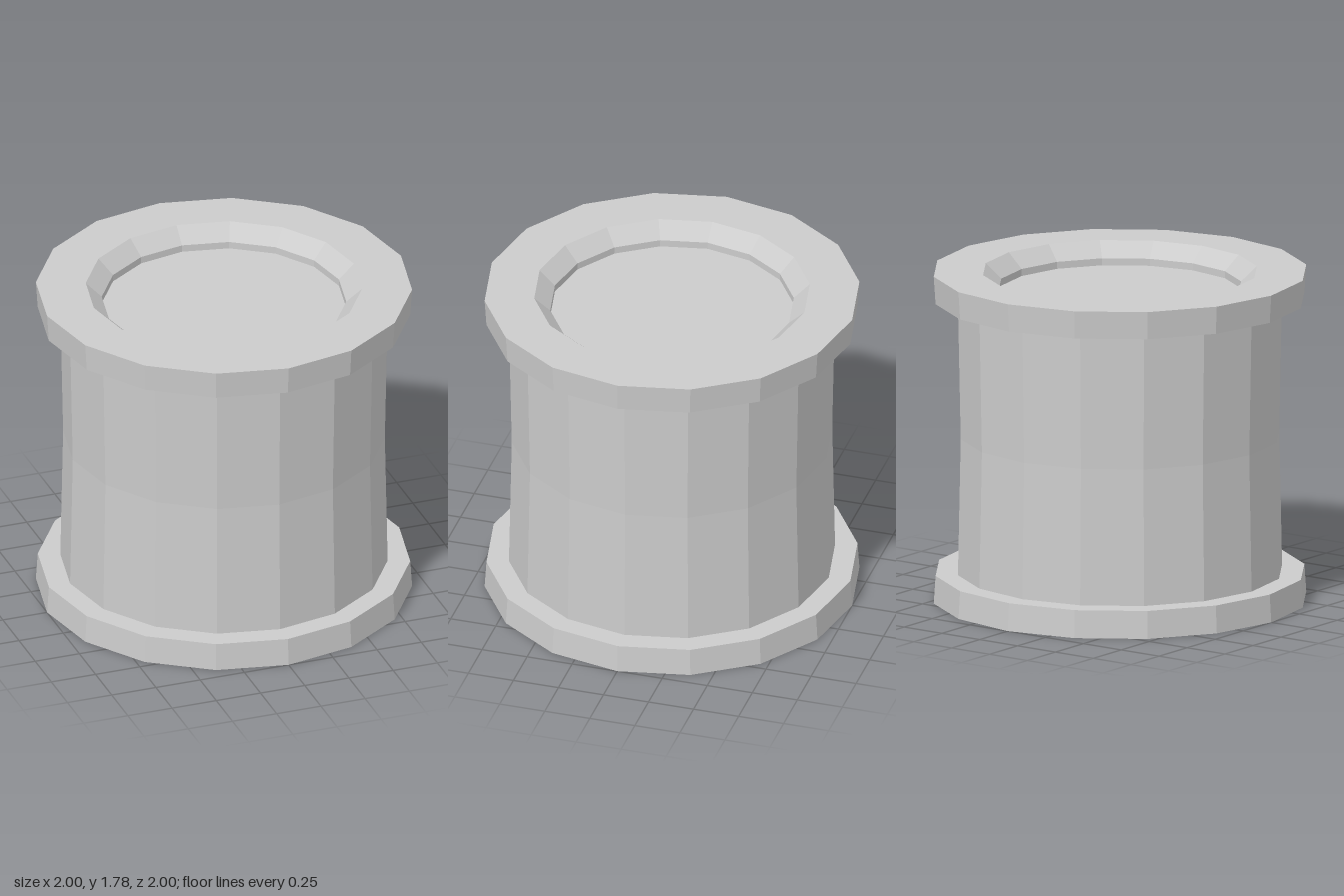
import * as THREE from 'three';

const SIDES = 16;
const HEIGHT = 1.78;

// Faceted solid of revolution from [radius, y] pairs, listed bottom to top on the outside
function turned(name, profile, material) {
  const points = profile.map(([r, y]) => new THREE.Vector2(r, y));
  const mesh = new THREE.Mesh(new THREE.LatheGeometry(points, SIDES), material);
  mesh.name = name;
  return mesh;
}

// Flared rim with a bevelled opening and a recessed round panel
function createEnd(name, material) {
  const end = new THREE.Group();
  end.name = name;
  const half = HEIGHT / 2;
  end.add(
    turned('rim', [
      [0.86, half - 0.15], [0.99, half - 0.15], [1, half],
      [0.735, half], [0.65, half - 0.08], [0.65, half - 0.118],
    ], material),
    turned('recessedPanel', [[0.65, half - 0.118], [0, half - 0.118]], material),
  );
  end.position.y = half;
  return end;
}

export function createModel() {
  const model = new THREE.Group();
  model.name = 'drum';
  const material = new THREE.MeshStandardMaterial({ color: 0xcccccc, flatShading: true });

  // Slightly waisted body
  model.add(turned('body', [[0.87, 0.15], [0.855, HEIGHT / 2], [0.87, HEIGHT - 0.15]], material));

  // Matching ends, the lower one turned over
  const topEnd = createEnd('topEnd', material);
  const bottomEnd = createEnd('bottomEnd', material);
  bottomEnd.rotation.x = Math.PI;
  model.add(topEnd, bottomEnd);

  return model;
}
